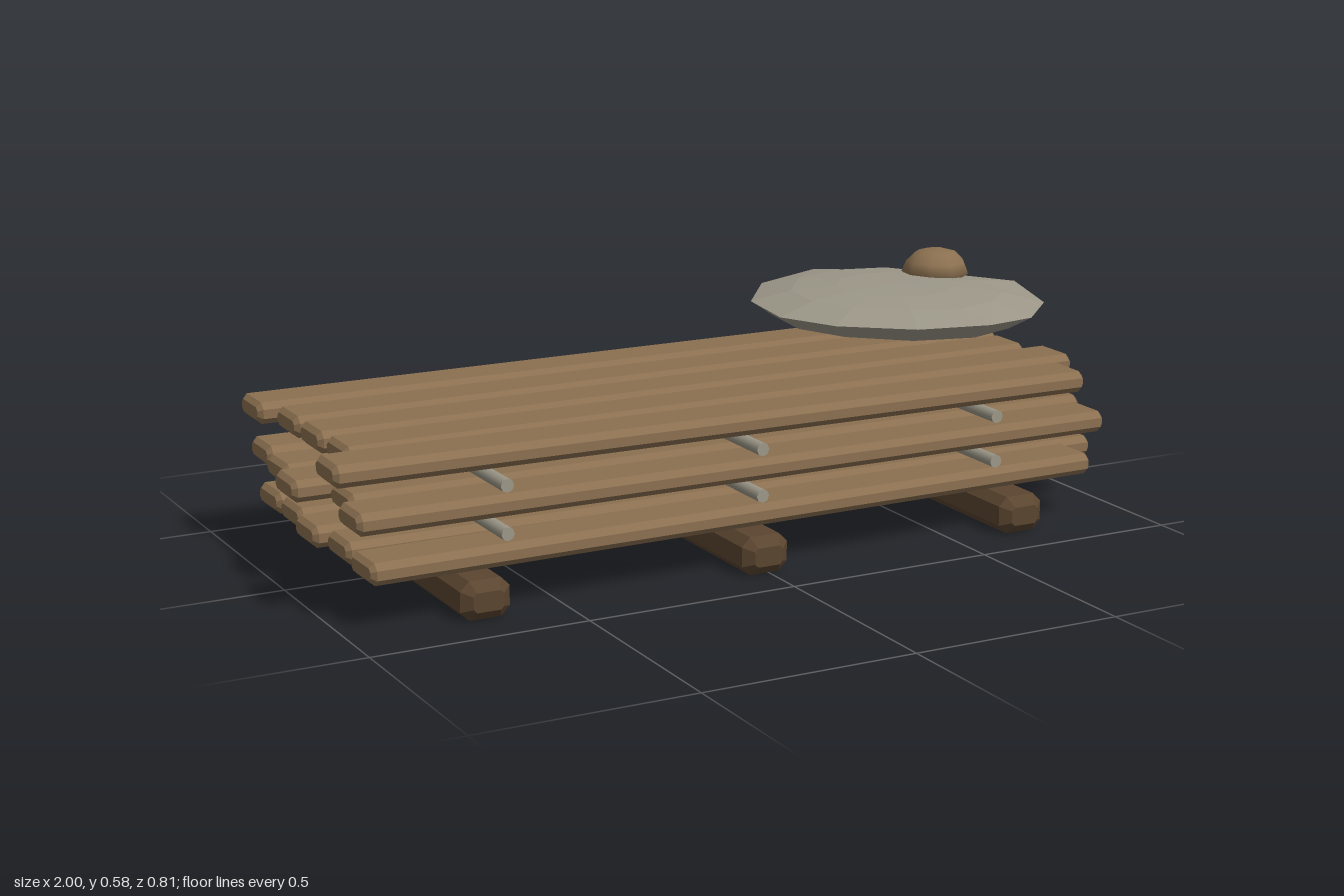
import * as THREE from 'three';

const timber = new THREE.MeshStandardMaterial({ color: 0x8b7050 });
timber.name = 'timber brown';
const bearerWood = new THREE.MeshStandardMaterial({ color: 0x5b4530 });
bearerWood.name = 'dark bearer brown';
const stone = new THREE.MeshStandardMaterial({ color: 0x9c9788 });
stone.name = 'weathered grey';

// Beam along z with chamfered long edges and chamfered ends
function beamGeometry(width, height, length, chamfer, end) {
  const w = width / 2 - end, h = height / 2 - end, c = chamfer;
  const shape = new THREE.Shape([
    [-w + c, -h], [w - c, -h], [w, -h + c], [w, h - c],
    [w - c, h], [-w + c, h], [-w, h - c], [-w, -h + c],
  ].map(([x, y]) => new THREE.Vector2(x, y)));
  const g = new THREE.ExtrudeGeometry(shape, {
    depth: length - 2 * end, bevelEnabled: true, bevelSegments: 1, bevelSize: end, bevelThickness: end,
  });
  return g.translate(0, 0, -length / 2 + end);
}

// Board from its left end (x0, z0) to its right end (x1, z1)
function board([x0, z0, x1, z1], y) {
  const length = Math.hypot(x1 - x0, z1 - z0);
  const mesh = new THREE.Mesh(beamGeometry(0.126, 0.05, length, 0.008, 0.011), timber);
  mesh.rotation.y = Math.atan2(x1 - x0, z1 - z0);
  mesh.position.set((x0 + x1) / 2, y, (z0 + z1) / 2);
  mesh.name = 'board';
  return mesh;
}

// Uneven flat slab: rings follow an irregular outline, rim rises and falls
function slabGeometry(cx, cz) {
  const rim = [ // x, y, z
    [0.885, 0.513, 0.03], [0.855, 0.495, 0.2], [0.75, 0.488, 0.3], [0.6, 0.497, 0.355],
    [0.43, 0.495, 0.31], [0.29, 0.492, 0.18], [0.228, 0.49, 0.03], [0.25, 0.492, -0.15],
    [0.37, 0.495, -0.31], [0.55, 0.503, -0.365], [0.73, 0.49, -0.33], [0.855, 0.472, -0.18],
  ];
  const n = rim.length;
  // ring scale, surface height, share of the rim height
  const rings = [[0.5, 0.444, 0], [0.84, 0.452, 0.1], [1, 0, 1], [0.72, 0.522, 0.15], [0.4, 0.529, 0]];
  const pos = [], idx = [];
  for (const [s, y, k] of rings)
    for (const [x, ry, z] of rim) pos.push(cx + (x - cx) * s, y * (1 - k) + ry * k, cz + (z - cz) * s);
  const low = pos.length / 3, high = low + 1;
  pos.push(cx, 0.442, cz, cx, 0.531, cz);
  for (let i = 0; i < n; i++) {
    const j = (i + 1) % n, t = (rings.length - 1) * n;
    idx.push(low, i, j, high, t + j, t + i);
    for (let r = 0; r < rings.length - 1; r++) {
      const a = r * n + i, b = r * n + j;
      idx.push(a, a + n, b, b, a + n, b + n);
    }
  }
  let g = new THREE.BufferGeometry();
  g.setAttribute('position', new THREE.Float32BufferAttribute(pos, 3));
  g.setIndex(idx);
  g = g.toNonIndexed(); // faceted
  g.computeVertexNormals();
  return g;
}

export function createModel() {
  const model = new THREE.Group();
  model.name = 'timberStack';

  // Three heavy bearers on the ground
  for (const x of [-0.69, -0.01, 0.675]) {
    const bearer = new THREE.Mesh(beamGeometry(0.115, 0.088, 0.81, 0.008, 0.022), bearerWood);
    bearer.position.set(x, 0.044, 0);
    bearer.name = 'bearer';
    model.add(bearer);
  }

  // Three layers of slightly skewed boards, front to back
  const layers = [
    { y: 0.126, ends: [
      [-0.94, 0.31, 0.9, 0.287], [-0.93, 0.145, 0.995, 0.153], [-0.95, 0, 0.93, -0.003],
      [-0.93, -0.146, 0.95, -0.15], [-0.93, -0.287, 0.93, -0.312]] },
    { y: 0.232, ends: [
      [-0.96, 0.293, 0.92, 0.308], [-0.92, 0.147, 0.96, 0.152], [-0.99, -0.01, 0.87, 0.015],
      [-0.96, -0.142, 0.965, -0.16], [-0.94, -0.305, 0.97, -0.29]] },
    { y: 0.336, ends: [
      [-1.0, 0.272, 0.86, 0.31], [-0.925, 0.142, 0.935, 0.15], [-0.93, -0.004, 0.9, 0.003],
      [-0.93, -0.15, 0.92, -0.15], [-0.96, -0.303, 0.9, -0.3]] },
  ];
  for (const { y, ends } of layers) {
    const layer = new THREE.Group();
    layer.name = 'boardLayer';
    for (const e of ends) layer.add(board(e, y));
    model.add(layer);
  }

  // Round spacer rods between the layers
  const rod = new THREE.CylinderGeometry(0.0155, 0.0155, 0.75, 8).rotateX(Math.PI / 2);
  for (const y of [0.176, 0.283])
    for (const x of [-0.63, -0.01, 0.61]) {
      const spacer = new THREE.Mesh(rod, stone);
      spacer.position.set(x, y, 0);
      spacer.name = 'spacerRod';
      model.add(spacer);
    }

  // Flat slab above the stack, with a rounded knob on it
  const slab = new THREE.Mesh(slabGeometry(0.56, -0.005), stone);
  slab.name = 'slab';
  const dome = [[0, -0.02], [0.06, -0.015], [0.083, 0.002], [0.072, 0.028], [0.05, 0.05], [0.025, 0.057], [0, 0.058]];
  const knob = new THREE.Mesh(
    new THREE.LatheGeometry(dome.map(([r, y]) => new THREE.Vector2(r, y)), 9), timber);
  knob.position.set(0.737, 0.527, -0.095);
  knob.name = 'knob';
  model.add(slab, knob);

  return model;
}
